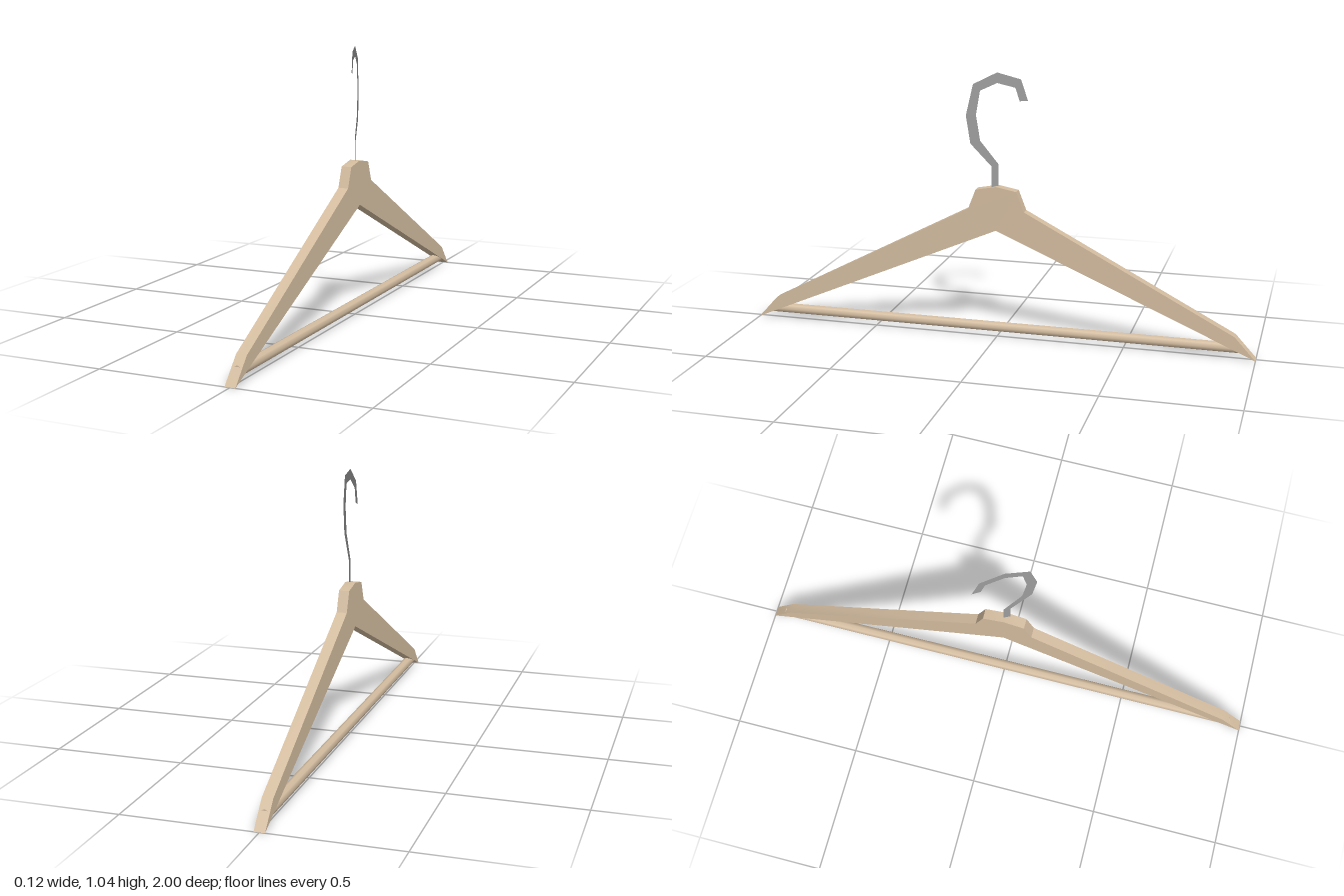
import * as THREE from 'three';
import { toCreasedNormals } from 'three/addons/utils/BufferGeometryUtils.js';

const wood = new THREE.MeshStandardMaterial({ color: 0xd4bda0 });
wood.name = 'wood';
const steel = new THREE.MeshStandardMaterial({ color: 0x9c9c9c, side: THREE.DoubleSide });
steel.name = 'steel';

const toShape = (points) => new THREE.Shape(points.map(([x, y]) => new THREE.Vector2(x, y)));

function addMesh(group, name, geometry, material) {
  const mesh = new THREE.Mesh(geometry, material);
  mesh.name = name;
  group.add(mesh);
  return mesh;
}

export function createModel() {
  const group = new THREE.Group();
  group.name = 'coatHanger';

  // Shoulders: half outline from the neck, over the tip, to the inner apex, then mirrored
  const half = [
    [0, 0.605], [0.08, 0.59], [0.11, 0.513], [0.92, 0.088],
    [1, 0], [0.955, 0.02], [0, 0.433],
  ];
  const mirrored = half.slice(1, -1).reverse().map(([x, y]) => [-x, y]);
  const bodyGeometry = new THREE.ExtrudeGeometry(toShape([...half, ...mirrored]), {
    depth: 0.04, bevelEnabled: false,
  });
  bodyGeometry.translate(0, 0, -0.02);
  bodyGeometry.rotateY(-Math.PI / 2);
  addMesh(group, 'shoulders', toCreasedNormals(bodyGeometry, 0.38), wood);

  // Trouser bar between the two tips
  const barGeometry = new THREE.CylinderGeometry(0.02, 0.02, 1.9, 8);
  barGeometry.rotateX(Math.PI / 2);
  addMesh(group, 'trouserBar', barGeometry, wood).position.y = 0.04;

  // Flat hook, turned part way out of the hanger's plane
  const innerEdge = [
    [-0.005, 0.58], [-0.005, 0.69], [0.066, 0.784], [0.082, 0.883],
    [0.066, 0.974], [0, 1.0], [-0.071, 0.979], [-0.088, 0.927],
  ];
  const outerEdge = [
    [0.022, 0.58], [0.022, 0.682], [0.104, 0.775], [0.121, 0.883],
    [0.093, 1.0], [0, 1.04], [-0.093, 1.01], [-0.121, 0.927],
  ];
  const hookGeometry = new THREE.ShapeGeometry(toShape([...outerEdge, ...innerEdge.reverse()]));
  addMesh(group, 'hook', hookGeometry, steel).rotation.y = -Math.PI / 3;

  return group;
}
